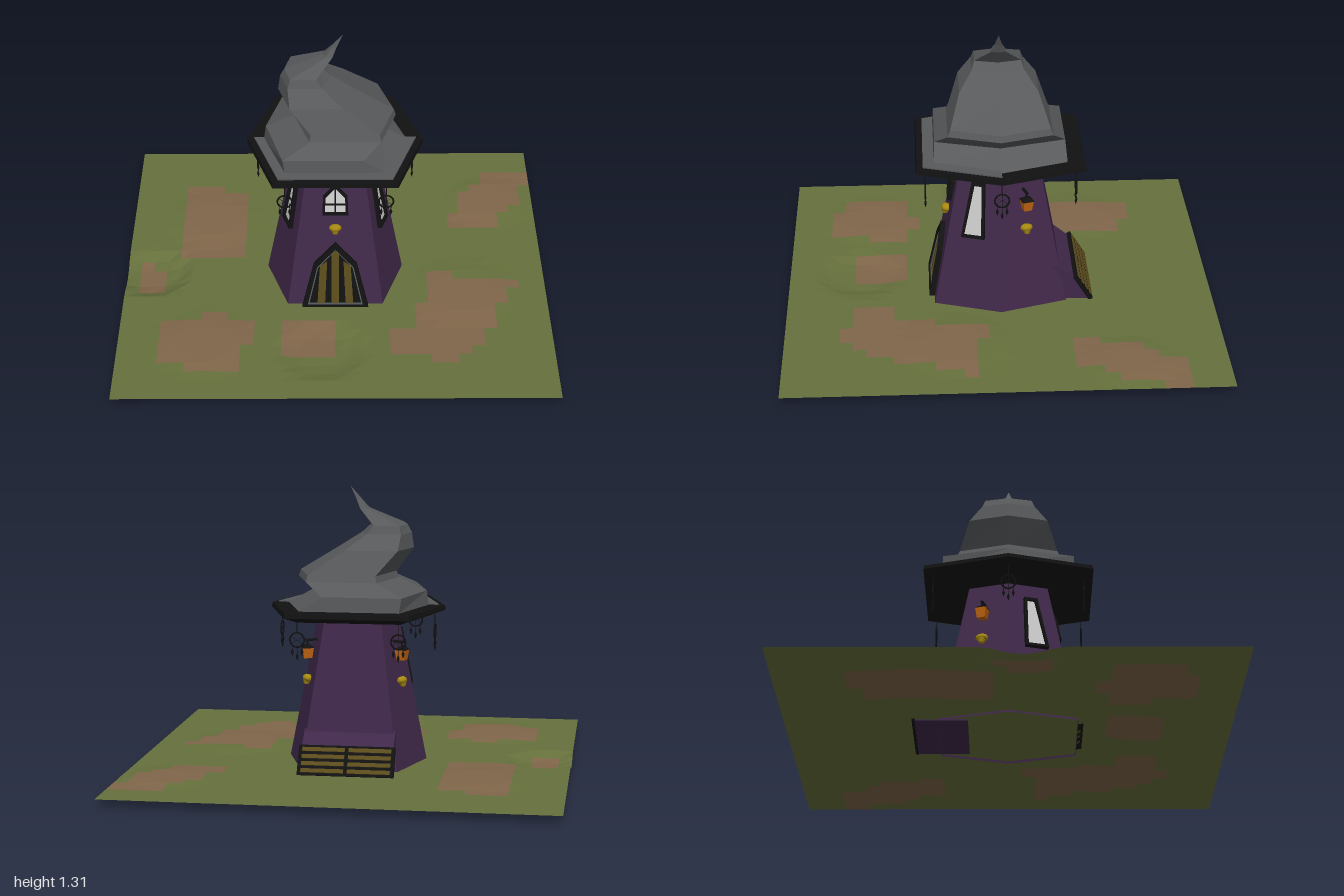
import * as THREE from 'three';

const C = { purple: 0x40284a, hat: 0x57595b, black: 0x111112, wood: 0x5c4c1c, pane: 0xcccccc, grey: 0x555a5a,
  orange: 0xc06412, gold: 0xa88a12, grass: 0x66703c, dirt: 0x80664a };
const mat = (color, flat = true) => new THREE.MeshStandardMaterial({ color, flatShading: flat, side: THREE.DoubleSide });

function add(parent, name, geo, color, x = 0, y = 0, z = 0, flat = true) {
  const m = new THREE.Mesh(geo, mat(color, flat));
  m.name = name;
  m.position.set(x, y, z);
  parent.add(m);
  return m;
}

// Hexagonal loft; each ring is [centreX, halfX, halfZ, y]
function loft(rings) {
  const pos = [], idx = [];
  for (const [cx, hx, hz, y] of rings)
    for (const [a, b] of [[1, 0], [0.69, 1], [-0.69, 1], [-1, 0], [-0.69, -1], [0.69, -1]])
      pos.push(cx + a * hx, y, b * hz);
  for (let i = 0; i < rings.length - 1; i++)
    for (let j = 0; j < 6; j++) {
      const a = i * 6 + j, b = i * 6 + (j + 1) % 6;
      idx.push(a, a + 6, b, b, a + 6, b + 6);
    }
  const g = new THREE.BufferGeometry();
  g.setAttribute('position', new THREE.Float32BufferAttribute(pos, 3));
  g.setIndex(idx);
  const flat = g.toNonIndexed();
  flat.computeVertexNormals();
  return flat;
}

const shapeOf = pts => new THREE.Shape(pts.map(p => new THREE.Vector2(...p)));
function panel(pts, depth, hole) {
  const s = shapeOf(pts);
  if (hole) s.holes.push(shapeOf(hole));
  return new THREE.ExtrudeGeometry(s, { depth, bevelEnabled: false });
}
// Pointed arch outline standing on y = base
const arch = (w, waist, shoulder, peak, base = 0) =>
  [[-w, base], [w, base], [waist, shoulder], [0, peak], [-waist, shoulder]];

// Group lying on a sloped tower wall; u runs along the wall
const wallDist = y => 0.31 * (1 - 0.42 * (y - 0.03) / 0.68);
function onWall(parent, name, angle, u, y, dist = wallDist(y), tilt = 0.19) {
  const turn = new THREE.Group(), g = new THREE.Group();
  turn.rotation.y = angle;
  g.position.set(u, y, dist);
  g.rotation.x = -tilt;
  g.name = name;
  turn.add(g);
  parent.add(turn);
  return g;
}

// Dirt patches as [x0, z0, x1, z1] in grid cells of 1/16 unit
const PATCHES = [
  [-12, -11, -9, -1], [-9, -10, -7, -1],
  [12, -13, 16, -11], [11, -11, 15, -10], [10, -10, 15, -8], [10, -8, 14, -7], [9, -7, 13, -5],
  [7, 1, 9, 2], [7, 2, 14, 3], [7, 3, 13, 5], [6, 5, 12, 8], [4, 8, 11, 10], [4, 10, 10, 11], [7, 11, 9, 12],
  [-13, 7, -6, 10], [-13, 10, -7, 12], [-10, 6, -8, 7], [-11, 12, -7, 13],
  [-4, 7, 0, 11], [-15, 0, -13, 3], [-15, -1, -14, 0]];
// Soft dips and rises as [x, z, radius, height]
const BUMPS = [[-0.88, 0.06, 0.15, -0.035], [-0.06, 0.66, 0.17, -0.02], [-0.6, 0.6, 0.2, 0.01],
  [0.6, 0.22, 0.22, 0.01], [0.78, -0.55, 0.18, 0.01], [-0.6, -0.4, 0.2, 0.01]];

function buildGround(group) {
  const height = (x, z) => BUMPS.reduce((h, [bx, bz, r, a]) => {
    const t = Math.max(0, 1 - ((x - bx) ** 2 + (z - bz) ** 2) / (r * r * 1.6));
    return h + a * Math.min(1, t * 1.5);
  }, 0.035);
  const cells = { ground: [], dirtPatches: [] };
  for (let i = -16; i < 16; i++)
    for (let j = -16; j < 16; j++) {
      const dirt = PATCHES.some(([a, b, c, d]) => i >= a && i < c && j >= b && j < d);
      for (const [a, b] of [[0, 0], [0, 1], [1, 0], [1, 0], [0, 1], [1, 1]]) {
        const x = (i + a) / 16, z = (j + b) / 16;
        cells[dirt ? 'dirtPatches' : 'ground'].push(x, height(x, z), z);
      }
    }
  for (const name in cells) {
    const g = new THREE.BufferGeometry();
    g.setAttribute('position', new THREE.Float32BufferAttribute(cells[name], 3));
    g.computeVertexNormals();
    add(group, name, g, name === 'ground' ? C.grass : C.dirt);
  }
}

function buildDoor(group) {
  const door = onWall(group, 'frontDoor', 0, 0, 0.03);
  const outer = arch(0.155, 0.1, 0.22, 0.325), inner = arch(0.13, 0.085, 0.205, 0.295, 0.01);
  add(door, 'doorFrame', panel(outer, 0.025, inner), C.black);
  add(door, 'doorTrim', panel(inner, 0.018, arch(0.122, 0.08, 0.2, 0.287, 0.015)), C.grey);
  add(door, 'doorBack', panel(inner, 0.008), C.black);
  for (const s of [-1, 0, 1]) {
    const h = s ? 0.23 : 0.28, k = s * 0.055;
    add(door, 'doorPlank', panel([[k - 0.018 + s * 0.012, 0], [k + 0.018 + s * 0.012, 0],
      [k + 0.017, h - (s > 0 ? 0.025 : 0)], [k - 0.017, h - (s < 0 ? 0.025 : 0)]], 0.015), C.wood);
  }
}

function buildFrontWindow(group) {
  const win = onWall(group, 'frontWindow', 0, 0, 0.49);
  const inner = arch(0.048, 0.045, 0.085, 0.135, 0.01);
  add(win, 'windowFrame', panel(arch(0.06, 0.056, 0.09, 0.153), 0.022, inner), C.black);
  add(win, 'windowPane', panel(inner, 0.006), C.pane);
  add(win, 'windowUpright', new THREE.BoxGeometry(0.008, 0.13, 0.012), C.black, 0, 0.07, 0.008);
  add(win, 'windowCrossbar', new THREE.BoxGeometry(0.1, 0.008, 0.012), C.black, 0, 0.05, 0.008);
}

// Gold wall ornament: a dome over a small jaw
function buildOrnament(wall) {
  const dome = add(wall, 'goldOrnament', new THREE.SphereGeometry(0.03, 10, 6), C.gold, 0, 0.004, 0.012, false);
  dome.scale.set(1, 0.6, 0.8);
  add(wall, 'ornamentBase', new THREE.CylinderGeometry(0.02, 0.011, 0.02, 8), C.gold, 0, -0.015, 0.014);
}

function buildSide(group, s) {
  // Leaning window on the front side wall
  const win = onWall(group, 'sideWindow', s * 1.257, 0, 0.39);
  const quad = o => {
    const q = [[-0.096 - o, -o], [-0.012 + o, -o], [-0.021 + o, 0.24 + o], [-0.058 - o, 0.24 + o]];
    return s > 0 ? q : q.map(([x, y]) => [-x, y]).reverse();
  };
  add(win, 'sideWindowFrame', panel(quad(0.013), 0.02, quad(0)), C.black);
  add(win, 'sideWindowPane', panel(quad(0), 0.007), C.pane);

  // Lantern and ornament on the rear side wall
  const angle = s * (Math.PI - 1.257);
  const lamp = onWall(group, 'lantern', angle, s * 0.046, 0.545, wallDist(0.545) + 0.035, 0);
  const body = add(lamp, 'lanternGlass', new THREE.CylinderGeometry(0.036, 0.027, 0.048, 4), C.orange);
  body.rotation.y = Math.PI / 4;
  const roof = add(lamp, 'lanternRoof', new THREE.CylinderGeometry(0.014, 0.04, 0.014, 4), C.black, 0, 0.031, 0);
  roof.rotation.y = Math.PI / 4;
  add(lamp, 'lanternHook', new THREE.BoxGeometry(0.008, 0.03, 0.008), C.black, 0, 0.048, 0);
  add(lamp, 'lanternArm', new THREE.BoxGeometry(0.01, 0.01, 0.06), C.black, 0, 0.06, -0.022);
  buildOrnament(onWall(group, 'sideOrnament', angle, s * 0.046, 0.42));
}

// Sloping cellar hatch at the back
function buildHatch(group) {
  const wedge = panel([[0.18, 0.03], [0.42, 0.03], [0.345, 0.15], [0.265, 0.215], [0.18, 0.215]], 0.42);
  add(group, 'hatchWedge', wedge.rotateY(Math.PI / 2).translate(-0.21, 0, 0), C.purple);
  const hatch = onWall(group, 'cellarHatch', Math.PI, 0, 0.092, 0.385, 0.56);
  add(hatch, 'hatchBoard', new THREE.BoxGeometry(0.44, 0.145, 0.02), C.black, 0, 0, 0.004);
  for (const s of [-1, 1])
    for (let i = 0; i < 4; i++)
      add(hatch, 'hatchSlat', new THREE.BoxGeometry(0.195, 0.019, 0.01), C.wood, s * 0.106, -0.051 + i * 0.034, 0.014);
}

// Hoop with crossed threads and three feathers, hung from the brim
function buildHanger(group, x, z, turn) {
  const g = new THREE.Group();
  g.name = 'hangingHoop';
  g.position.set(x, 0.64, z);
  g.rotation.y = turn;
  group.add(g);
  add(g, 'hoop', new THREE.TorusGeometry(0.033, 0.004, 5, 16), C.black, 0, 0, 0, false);
  add(g, 'hoopCord', new THREE.CylinderGeometry(0.002, 0.002, 0.05, 4), C.black, 0, 0.055, 0);
  for (const a of [0, 1, 2]) {
    const web = add(g, 'hoopThread', new THREE.CylinderGeometry(0.001, 0.001, 0.066, 3), C.black);
    web.rotation.z = a * Math.PI / 3;
    const k = a - 1, drop = k ? -0.05 : -0.07;
    add(g, 'featherCord', new THREE.CylinderGeometry(0.0015, 0.0015, 0.04, 3), C.black, k * 0.022, drop + 0.015, 0);
    const feather = add(g, 'feather', new THREE.OctahedronGeometry(0.02), C.black, k * 0.022, drop - 0.005, 0);
    feather.scale.set(0.35, 1, 0.25);
  }
}

export function createModel() {
  const group = new THREE.Group();
  group.name = 'witchTower';
  buildGround(group);

  add(group, 'towerWalls', loft([[0, 0.325, 0.31, 0.025], [0, 0.188, 0.18, 0.72]]), C.purple);
  buildDoor(group);
  buildFrontWindow(group);
  buildOrnament(onWall(group, 'frontOrnament', 0, 0, 0.42));
  buildSide(group, 1);
  buildSide(group, -1);
  buildHatch(group);

  // Brim, with a grey strip over its front half
  add(group, 'hatBrim', loft([[0, 0.15, 0.14, 0.715], [0, 0.34, 0.32, 0.715], [0, 0.41, 0.388, 0.742],
    [0, 0.405, 0.383, 0.762], [0, 0.2, 0.2, 0.764]]), C.black);
  const strip = panel([[-0.375, 0], [-0.259, -0.355], [0.259, -0.355], [0.375, 0], [0.3, 0], [0.2, -0.28], [-0.2, -0.28], [-0.3, 0]], 0.006);
  add(group, 'brimStrip', strip.rotateX(-Math.PI / 2), C.hat, 0, 0.763, 0);

  // Crumpled, leaning hat
  add(group, 'hatCrown', loft([[0, 0.33, 0.305, 0.762], [-0.055, 0.265, 0.3, 0.83], [0.045, 0.235, 0.24, 0.89],
    [0.045, 0.225, 0.228, 0.92], [-0.085, 0.175, 0.182, 1.03], [-0.135, 0.115, 0.122, 1.1],
    [-0.145, 0.085, 0.108, 1.137], [-0.03, 0.025, 0.035, 1.21], [-0.005, 0.014, 0.016, 1.25], [0.035, 0.0005, 0.0005, 1.31]]), C.hat);

  for (const s of [-1, 1]) {
    buildHanger(group, s * 0.23, 0.345, 0);
    buildHanger(group, s * 0.23, -0.345, 0);
    buildHanger(group, s * 0.36, 0, Math.PI / 2);
  }
  return group;
}
